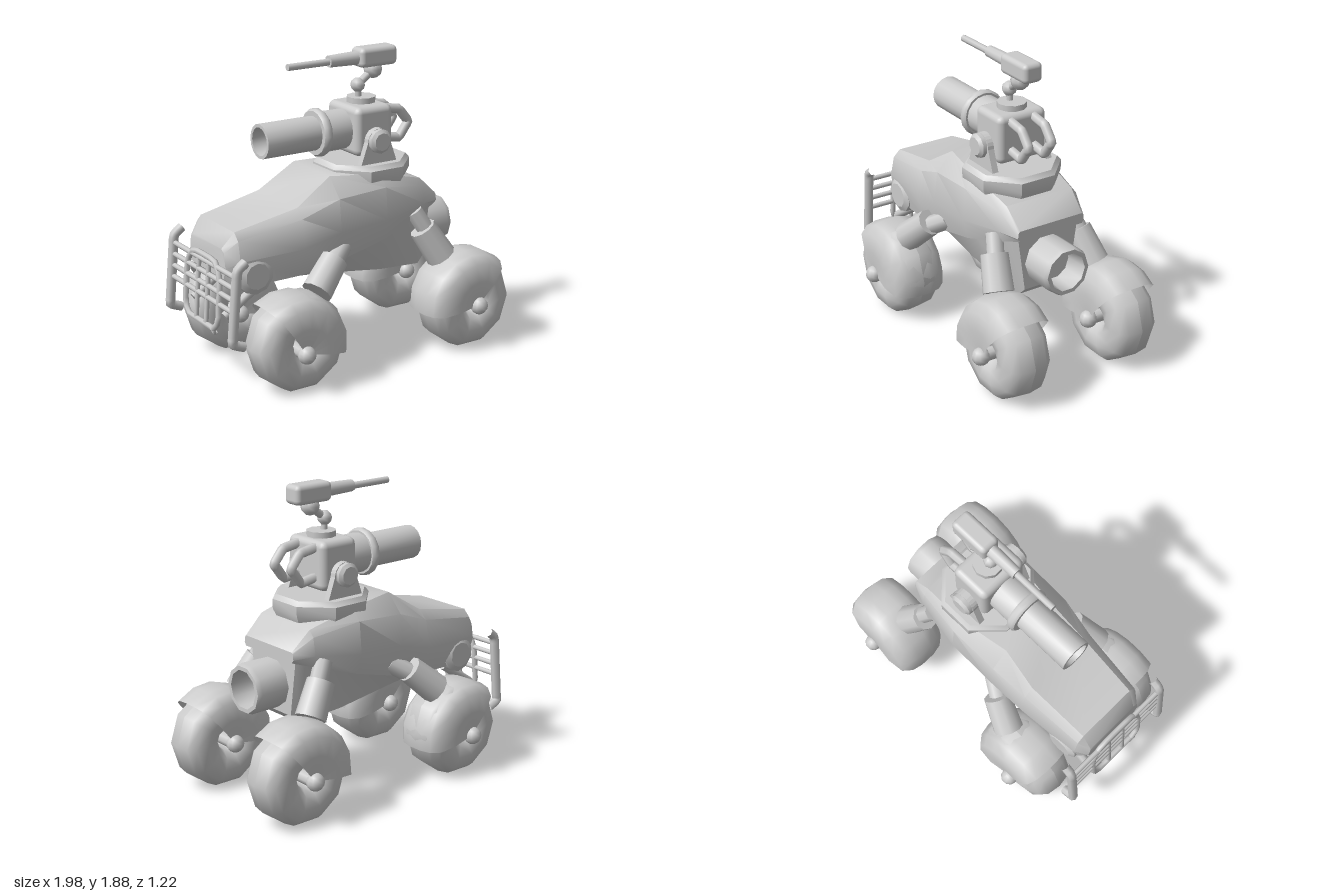
import * as THREE from 'three';
import { toCreasedNormals } from 'three/addons/utils/BufferGeometryUtils.js';
import { RoundedBoxGeometry } from 'three/addons/geometries/RoundedBoxGeometry.js';

const grey = new THREE.MeshStandardMaterial({ color: 0xcccccc });
const greyThin = new THREE.MeshStandardMaterial({ color: 0xcccccc, side: THREE.DoubleSide });
const V = (x, y, z) => new THREE.Vector3(x, y, z);

function add(parent, name, geometry, x = 0, y = 0, z = 0, material = grey) {
  const mesh = new THREE.Mesh(geometry, material);
  mesh.name = name;
  mesh.position.set(x, y, z);
  parent.add(mesh);
  return mesh;
}

// Cylinder running from point a to point b
function rod(parent, name, a, b, rA, rB = rA, sides = 8) {
  const dir = b.clone().sub(a);
  const mesh = add(parent, name, new THREE.CylinderGeometry(rB, rA, dir.length(), sides));
  mesh.position.copy(a).addScaledVector(dir, 0.5);
  mesh.quaternion.setFromUnitVectors(V(0, 1, 0), dir.normalize());
  return mesh;
}

// Bent bar with straight stretches
function bar(parent, name, points, r, closed = false) {
  const path = new THREE.CurvePath();
  const ends = closed ? [...points, points[0]] : points;
  for (let i = 1; i < ends.length; i++) path.add(new THREE.LineCurve3(ends[i - 1], ends[i]));
  const curve = new THREE.CatmullRomCurve3(path.getSpacedPoints(20), closed, 'centripetal');
  return add(parent, name, new THREE.TubeGeometry(curve, 28, r, 7, closed));
}

// Turned part along x; profile is [radius, x]
function turned(parent, name, profile, sides, y, z = 0) {
  const g = new THREE.LatheGeometry(profile.map(p => new THREE.Vector2(...p)), sides);
  return add(parent, name, toCreasedNormals(g.rotateZ(-Math.PI / 2), 0.8), 0, y, z);
}

// Skin over mirrored cross-sections: { x, pts: [[y, halfWidth], ... top to bottom] }
function hull(sections) {
  const pos = [], idx = [];
  for (const { x, pts } of sections) {
    pts.forEach(([y, w]) => pos.push(x, y, w));
    [...pts].reverse().forEach(([y, w]) => pos.push(x, y, -w));
  }
  const n = sections[0].pts.length * 2, last = (sections.length - 1) * n;
  for (let i = 0; i < last; i += n)
    for (let j = 0; j < n; j++) {
      const k = (j + 1) % n;
      idx.push(i + j, i + k, i + n + k, i + j, i + n + k, i + n + j);
    }
  for (let j = 1; j < n - 1; j++) idx.push(0, j + 1, j, last, last + j, last + j + 1);
  const g = new THREE.BufferGeometry();
  g.setAttribute('position', new THREE.Float32BufferAttribute(pos, 3));
  g.setIndex(idx);
  return toCreasedNormals(g, 0.65);
}

// Tyre, hub and wrap-around mudguard; side is +1 or -1
function wheel(parent, name, x, y, side, hubX, hubY, guardFrom, guardTo) {
  const g = new THREE.Group();
  g.name = name;
  g.position.set(0, 0, side * 0.385);
  parent.add(g);
  const ring = [];
  for (let i = 0; i <= 12; i++) {
    const a = i / 12 * Math.PI * 2, c = Math.cos(a), s = Math.sin(a);
    ring.push(new THREE.Vector2(0.18 + 0.125 * Math.sign(c) * Math.abs(c) ** 0.8,
      0.15 * Math.sign(s) * Math.abs(s) ** 0.8));
  }
  add(g, 'tyre', new THREE.LatheGeometry(ring, 10, Math.PI / 10).rotateX(Math.PI / 2), x, y);
  rod(g, 'axle', V(hubX, hubY, -0.18), V(hubX, hubY, 0.18), 0.04);
  for (const s of [-1, 1])
    add(g, 'hubCap', new THREE.SphereGeometry(0.055, 10, 8), hubX, hubY, s * 0.175);
  const half = [[0.03, 0.175], [0.16, 0.19], [0.27, 0.175], [0.315, 0.12], [0.33, 0.05]];
  const profile = [...half.map(([r, z]) => [r, -z]), ...half.reverse()].map(p => new THREE.Vector2(...p));
  const rad = THREE.MathUtils.degToRad;
  add(g, 'mudguard', new THREE.LatheGeometry(profile, 6, rad(guardFrom + 90), rad(guardTo - guardFrom))
    .rotateX(Math.PI / 2), hubX, hubY, 0, greyThin);
}

export function createModel() {
  const model = new THREE.Group();
  model.name = 'armedBuggy';

  // Body shells
  add(model, 'upperHull', hull([
    { x: -0.9, pts: [[0.87, 0.17], [0.85, 0.20], [0.76, 0.215], [0.69, 0.19]] },
    { x: -0.83, pts: [[0.965, 0.20], [0.92, 0.245], [0.80, 0.27], [0.63, 0.24]] },
    { x: -0.42, pts: [[1.045, 0.22], [0.99, 0.28], [0.82, 0.315], [0.64, 0.26]] },
    { x: -0.18, pts: [[1.195, 0.20], [1.08, 0.31], [0.88, 0.335], [0.68, 0.28]] },
    { x: 0.15, pts: [[1.17, 0.25], [1.10, 0.315], [0.90, 0.335], [0.77, 0.30]] },
    { x: 0.46, pts: [[1.09, 0.23], [1.05, 0.265], [0.94, 0.285], [0.87, 0.26]] },
    { x: 0.585, pts: [[0.975, 0.22], [0.965, 0.23], [0.93, 0.235], [0.91, 0.22]] },
  ]));
  add(model, 'lowerHull', hull([
    { x: -0.62, pts: [[0.68, 0.23], [0.62, 0.17]] },
    { x: -0.25, pts: [[0.72, 0.27], [0.595, 0.18]] },
    { x: 0.2, pts: [[0.82, 0.29], [0.535, 0.19]] },
    { x: 0.5, pts: [[0.90, 0.24], [0.51, 0.17]] },
    { x: 0.55, pts: [[0.91, 0.21], [0.56, 0.16]] },
  ]));
  turned(model, 'exhaust', [[0.15, 0.42], [0.155, 0.74], [0.145, 0.77], [0.12, 0.77], [0.11, 0.62], [0, 0.62]], 10, 0.73, 0.008);

  // Wheels, shock absorbers and side drums
  for (const s of [1, -1]) {
    wheel(model, 'frontWheel', -0.54, 0.305, s, -0.57, 0.275, -10, 125);
    wheel(model, 'rearWheel', 0.69, 0.31, s, 0.69, 0.31, 50, 186);
    rod(model, 'frontShockRod', V(-0.13, 0.77, s * 0.26), V(-0.3, 0.66, s * 0.36), 0.06);
    rod(model, 'frontShock', V(-0.235, 0.725, s * 0.335), V(-0.40, 0.575, s * 0.40), 0.085, 0.095, 10);
    rod(model, 'rearShockRod', V(0.39, 0.9, s * 0.27), V(0.47, 0.76, s * 0.31), 0.055);
    rod(model, 'rearShock', V(0.435, 0.79, s * 0.30), V(0.55, 0.60, s * 0.345), 0.085, 0.095, 10);
    rod(model, 'sideDrum', V(-0.725, 0.70, s * 0.18), V(-0.725, 0.70, s * 0.265), 0.115, 0.115, 10);
    rod(model, 'sideDrumCap', V(-0.725, 0.70, s * 0.265), V(-0.725, 0.70, s * 0.285), 0.115, 0.08, 10);
  }

  // Bull bar
  const bull = new THREE.Group();
  bull.name = 'bullBar';
  model.add(bull);
  const barX = y => -0.92 - (0.8 - y) * 0.08;
  for (const s of [1, -1]) {
    const z = s * 0.385;
    bar(bull, 'post', [V(-0.865, 0.845, z), V(-0.92, 0.805, z), V(-0.96, 0.365, z), V(-0.885, 0.335, z)], 0.03);
    rod(bull, 'upright', V(barX(0.38), 0.38, s * 0.06), V(barX(0.76), 0.76, s * 0.06), 0.015);
    rod(bull, 'strut', V(-0.9, 0.46, s * 0.19), V(-0.66, 0.62, s * 0.19), 0.028);
  }
  for (const y of [0.55, 0.62, 0.69, 0.76])
    rod(bull, 'rung', V(barX(y), y, -0.385), V(barX(y), y, 0.385), 0.016);
  const frame = [[0.15, 0.385], [0.2, 0.44], [0.2, 0.7], [0.13, 0.79]];
  const corners = [...frame, ...frame.map(([z, y]) => [-z, y]).reverse()];
  bar(bull, 'frame', corners.map(([z, y]) => V(barX(y), y, z)), 0.018, true);

  // Turret ring and yoke
  const turret = new THREE.Group();
  turret.name = 'turret';
  turret.position.z = 0.006;
  model.add(turret);
  const ringProfile = [[0, 1.08], [0.27, 1.08], [0.30, 1.14], [0.30, 1.2], [0.275, 1.228], [0, 1.228]];
  add(turret, 'turretRing', toCreasedNormals(
    new THREE.LatheGeometry(ringProfile.map(p => new THREE.Vector2(...p)), 8, Math.PI / 8), 0.6), 0.18);
  const plate = new THREE.Shape();
  plate.moveTo(-0.13, 0);
  plate.lineTo(0.13, 0);
  plate.lineTo(0.08, 0.14);
  plate.absarc(0, 0.14, 0.08, 0, Math.PI, false);
  plate.closePath();
  for (const s of [1, -1]) {
    add(turret, 'yokePlate', new THREE.ExtrudeGeometry(plate, { depth: 0.04, bevelEnabled: false, curveSegments: 6 }),
      0.165, 1.22, s * 0.19 - 0.02);
    rod(turret, 'pivot', V(0.163, 1.365, s * 0.16), V(0.163, 1.365, s * 0.235), 0.075, 0.075, 10);
    rod(turret, 'pivotCap', V(0.163, 1.365, s * 0.235), V(0.163, 1.365, s * 0.252), 0.075, 0.055, 10);
    const z = s * 0.08;
    bar(turret, 'rearHandle', [V(0.28, 1.525, z), V(0.40, 1.505, z), V(0.47, 1.42, z), V(0.40, 1.325, z), V(0.28, 1.345, z)], 0.03);
  }

  // Cannon
  add(turret, 'breech', new RoundedBoxGeometry(0.265, 0.30, 0.335, 2, 0.04), 0.168, 1.415);
  turned(turret, 'cannonBarrel', [[0, -0.40], [0.08, -0.40], [0.085, -0.54], [0.105, -0.54], [0.105, -0.16],
    [0.122, -0.16], [0.122, 0.06]], 16, 1.415);
  turned(turret, 'barrelCollar', [[0.10, -0.17], [0.135, -0.17], [0.147, -0.155], [0.147, -0.13], [0.135, -0.115], [0.10, -0.115]], 16, 1.415);

  // Top machine gun on a jointed arm
  rod(turret, 'mountCap', V(0.175, 1.55, 0), V(0.175, 1.60, 0), 0.09, 0.09, 10);
  rod(turret, 'mountNeck', V(0.155, 1.59, 0), V(0.15, 1.67, 0), 0.02);
  add(turret, 'lowerJoint', new THREE.SphereGeometry(0.045, 8, 6), 0.15, 1.67);
  rod(turret, 'mountArm', V(0.15, 1.67, 0), V(0.26, 1.75, 0), 0.024);
  add(turret, 'upperJoint', new THREE.SphereGeometry(0.058, 8, 6), 0.26, 1.755);
  add(turret, 'gunBody', new RoundedBoxGeometry(0.265, 0.12, 0.13, 2, 0.03), 0.27, 1.837);
  rod(turret, 'gunSleeve', V(0.15, 1.835, 0), V(-0.06, 1.835, 0), 0.042, 0.036, 10);
  rod(turret, 'gunBarrel', V(-0.05, 1.832, 0), V(-0.345, 1.832, 0), 0.021, 0.021, 8);

  return model;
}
